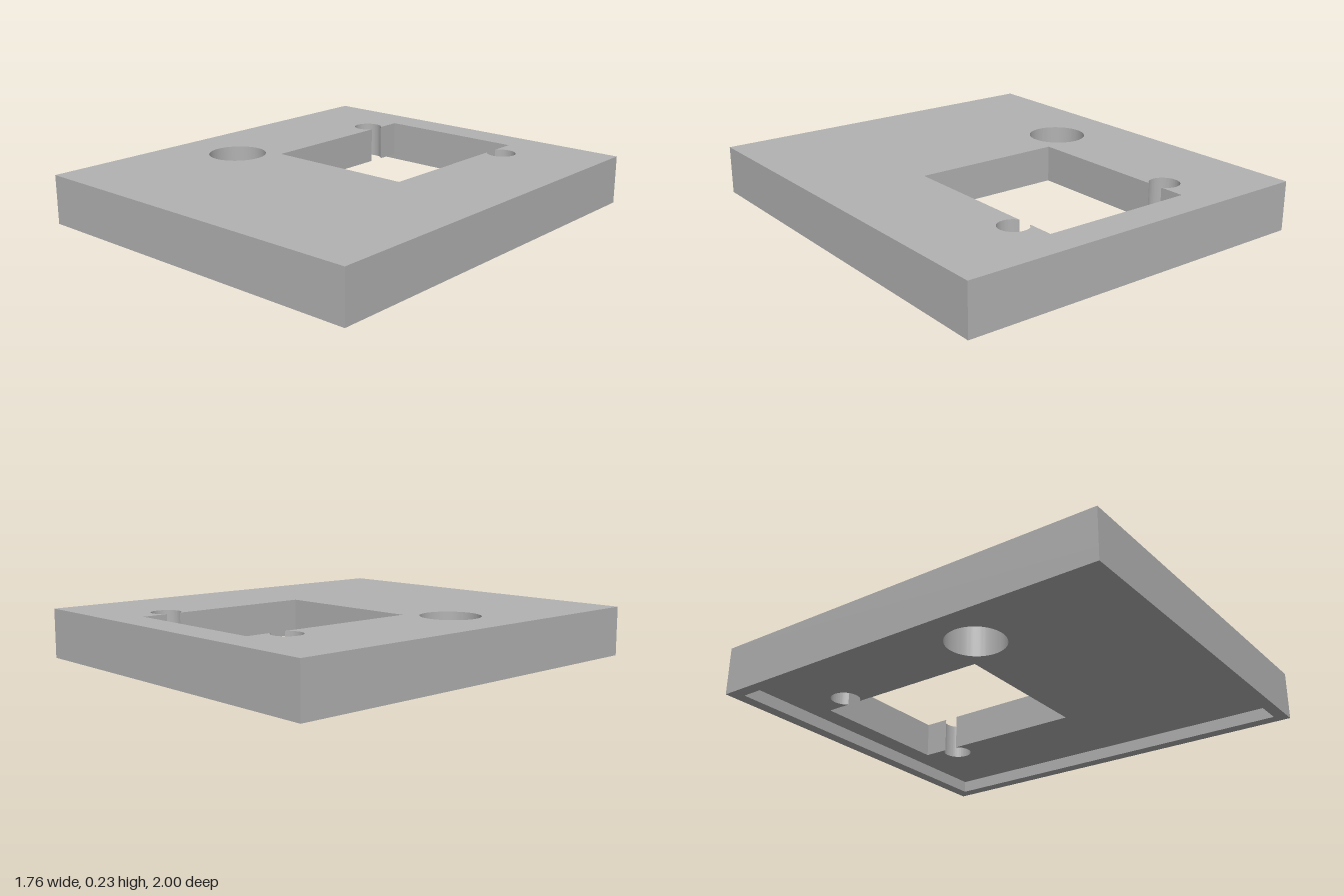
import * as THREE from 'three';
import { toCreasedNormals } from 'three/addons/utils/BufferGeometryUtils.js';

const W = 1.765, D = 2, H = 0.235; // outer size
const LIP = 0.059;                 // lip width and recess depth

function rectangle(target, w, d) {
  target.moveTo(-w / 2, -d / 2).lineTo(w / 2, -d / 2).lineTo(w / 2, d / 2).lineTo(-w / 2, d / 2).closePath();
  return target;
}

// Extrudes a plan outline (x, -z) upwards from y0 to y1
function slab(name, shape, y0, y1, material) {
  const extruded = new THREE.ExtrudeGeometry(shape, { depth: y1 - y0, bevelEnabled: false, curveSegments: 48 });
  extruded.rotateX(-Math.PI / 2).translate(0, y0, 0);
  const mesh = new THREE.Mesh(toCreasedNormals(extruded, 0.5), material);
  mesh.name = name;
  return mesh;
}

// Rectangular window whose sides break into two round screw holes
function windowWithScrewHoles() {
  const left = -0.376, right = 0.365, front = -0.048, back = 0.841;
  const r = 0.07, v = 0.682, leftX = -0.435, rightX = 0.425;
  const a = Math.acos((left - leftX) / r), b = Math.acos((rightX - right) / r);
  const path = new THREE.Path();
  path.moveTo(left, front).lineTo(right, front);
  path.absarc(rightX, v, r, -Math.PI + b, Math.PI - b, false);
  path.lineTo(right, back).lineTo(left, back);
  path.absarc(leftX, v, r, a, 2 * Math.PI - a, false);
  path.closePath();
  return path;
}

export function createModel() {
  const group = new THREE.Group();
  group.name = 'coverPlate';
  const grey = new THREE.MeshStandardMaterial({ color: 0xb2b2b2 });
  grey.name = 'grey';

  // Main plate with the window and the large round hole
  const plate = rectangle(new THREE.Shape(), W, D);
  const roundHole = new THREE.Path().absarc(-0.544, -0.182, 0.139, 0, Math.PI * 2, false);
  plate.holes.push(windowWithScrewHoles(), roundHole);
  group.add(slab('plate', plate, LIP, H, grey));

  // Lip around the shallow recess underneath
  const lip = rectangle(new THREE.Shape(), W, D);
  lip.holes.push(rectangle(new THREE.Path(), W - 2 * LIP, D - 2 * LIP));
  group.add(slab('lip', lip, 0, LIP, grey));

  return group;
}
